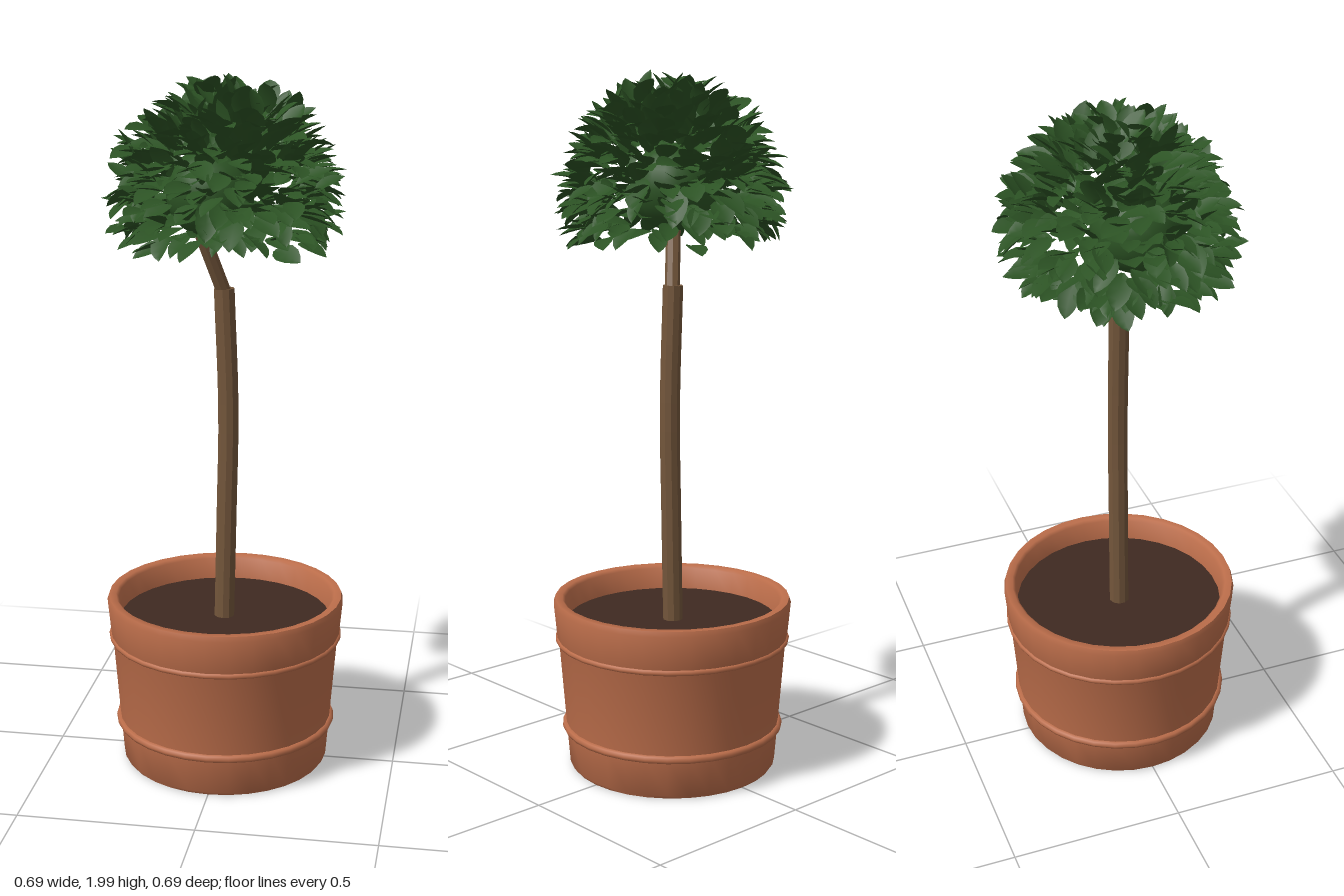
import * as THREE from 'three';
import { mergeGeometries, toCreasedNormals } from 'three/addons/utils/BufferGeometryUtils.js';

const material = (name, color, extra = {}) => {
  const m = new THREE.MeshStandardMaterial({ color, ...extra });
  m.name = name;
  return m;
};

// Small seeded generator, returns values from -1 to 1
function seeded(seed) {
  return () => {
    seed = (seed * 16807) % 2147483647;
    return (seed / 2147483647) * 2 - 1;
  };
}

// Pointed oval leaf along +y with a folded midrib, facing +z
function leafGeometry(length, width) {
  const rows = [[0, 0.06], [0.2, 0.36], [0.45, 0.5], [0.7, 0.43], [0.88, 0.23], [1, 0]];
  const positions = [], index = [];
  rows.forEach(([t, w], i) => {
    const bend = -0.12 * length * t * t;
    positions.push(-w * width, t * length, bend + w * width * 0.3);
    positions.push(0, t * length, bend);
    positions.push(w * width, t * length, bend + w * width * 0.3);
    if (i === 0) return;
    for (let k = 0; k < 2; k++) {
      const a = (i - 1) * 3 + k, b = a + 3;
      index.push(a, a + 1, b + 1, a, b + 1, b);
    }
  });
  const g = new THREE.BufferGeometry();
  g.setAttribute('position', new THREE.Float32BufferAttribute(positions, 3));
  g.setIndex(index);
  g.computeVertexNormals();
  return g;
}

// Dome of leaves: tips lie in an open-bottomed shell, pointing outwards with their faces up
function foliageGeometry(center, radius, count) {
  const rand = seeded(4711);
  const jitter = (amount) => new THREE.Vector3(rand(), rand(), rand()).multiplyScalar(amount);
  const up = new THREE.Vector3(0, 1, 0);
  const leaves = [];
  for (let i = 0; i < count; i++) {
    const cosine = 1 - 1.43 * ((i + 0.5) / count);
    const sine = Math.sqrt(1 - cosine * cosine);
    const angle = i * 2.39996 + rand() * 0.2;
    const radial = new THREE.Vector3(sine * Math.cos(angle), cosine, sine * Math.sin(angle));
    const dir = radial.clone().add(jitter(0.45)).normalize();
    const side = dir.clone().cross(up).normalize().add(jitter(0.4));
    side.addScaledVector(dir, -side.dot(dir)).normalize();
    const normal = side.clone().cross(dir);
    const length = 0.1 + 0.015 * rand();
    const tip = radial.multiplyScalar(radius * (0.91 + 0.09 * rand())).add(center);
    const matrix = new THREE.Matrix4().makeBasis(side, dir, normal)
      .setPosition(tip.addScaledVector(dir, -length));
    leaves.push(leafGeometry(length, 0.06 + 0.008 * rand()).applyMatrix4(matrix));
  }
  return mergeGeometries(leaves);
}

export function createModel() {
  const group = new THREE.Group();
  const terracotta = material('terracotta', 0xbb6d4a);
  const earth = material('dark soil', 0x3f2a21);
  const bark = material('brown bark', 0x73563b, { flatShading: true });
  const green = material('leaf green', 0x2c5324, { side: THREE.DoubleSide });

  const add = (name, geometry, mat) => {
    const mesh = new THREE.Mesh(geometry, mat);
    mesh.name = name;
    group.add(mesh);
    return mesh;
  };
  const vec = (x, y, z) => new THREE.Vector3(x, y, z);

  // Pot: base, tapered wall, upper band, rounded rim and inner wall
  const profile = [
    [0, 0], [0.293, 0], [0.3, 0.01], [0.309, 0.12], [0.329, 0.375], [0.334, 0.39],
    [0.343, 0.485], [0.338, 0.5], [0.318, 0.5], [0.31, 0.492], [0.303, 0.41],
  ].map(([r, y]) => new THREE.Vector2(r, y));
  add('pot', toCreasedNormals(new THREE.LatheGeometry(profile, 32), 0.9), terracotta);

  // Raised rings around the pot
  for (const [name, r, y, tube] of [['lowerRing', 0.309, 0.12, 0.012], ['upperRing', 0.33, 0.38, 0.009]]) {
    const ring = add(name, new THREE.TorusGeometry(r, tube, 8, 32), terracotta);
    ring.rotation.x = Math.PI / 2;
    ring.position.y = y;
  }

  // Soil
  const soil = add('soil', new THREE.CircleGeometry(0.305, 32), earth);
  soil.rotation.x = -Math.PI / 2;
  soil.position.y = 0.43;

  // Slightly bowed trunk with a flat top
  const trunkPath = new THREE.CatmullRomCurve3([
    vec(-0.003, 0.41, 0), vec(0.004, 0.75, 0), vec(0.009, 1.05, 0), vec(-0.003, 1.4, 0),
  ]);
  add('trunk', new THREE.TubeGeometry(trunkPath, 12, 0.029, 10), bark);
  const cap = add('trunkTop', new THREE.CircleGeometry(0.029, 10), bark);
  cap.rotation.x = -Math.PI / 2;
  cap.position.set(-0.003, 1.4, 0);

  // Leaning branch from the trunk into the crown
  const branchPath = new THREE.LineCurve3(vec(0, 1.38, 0), vec(-0.068, 1.6, 0.068));
  add('branch', new THREE.TubeGeometry(branchPath, 1, 0.021, 8), bark);

  // Crown: solid core and leaf shell
  const core = add('crownCore', new THREE.SphereGeometry(0.122, 20, 14), green);
  core.position.set(-0.035, 1.67, 0.035);
  add('leaves', foliageGeometry(vec(0, 1.66, 0), 0.342, 560), green);

  return group;
}
